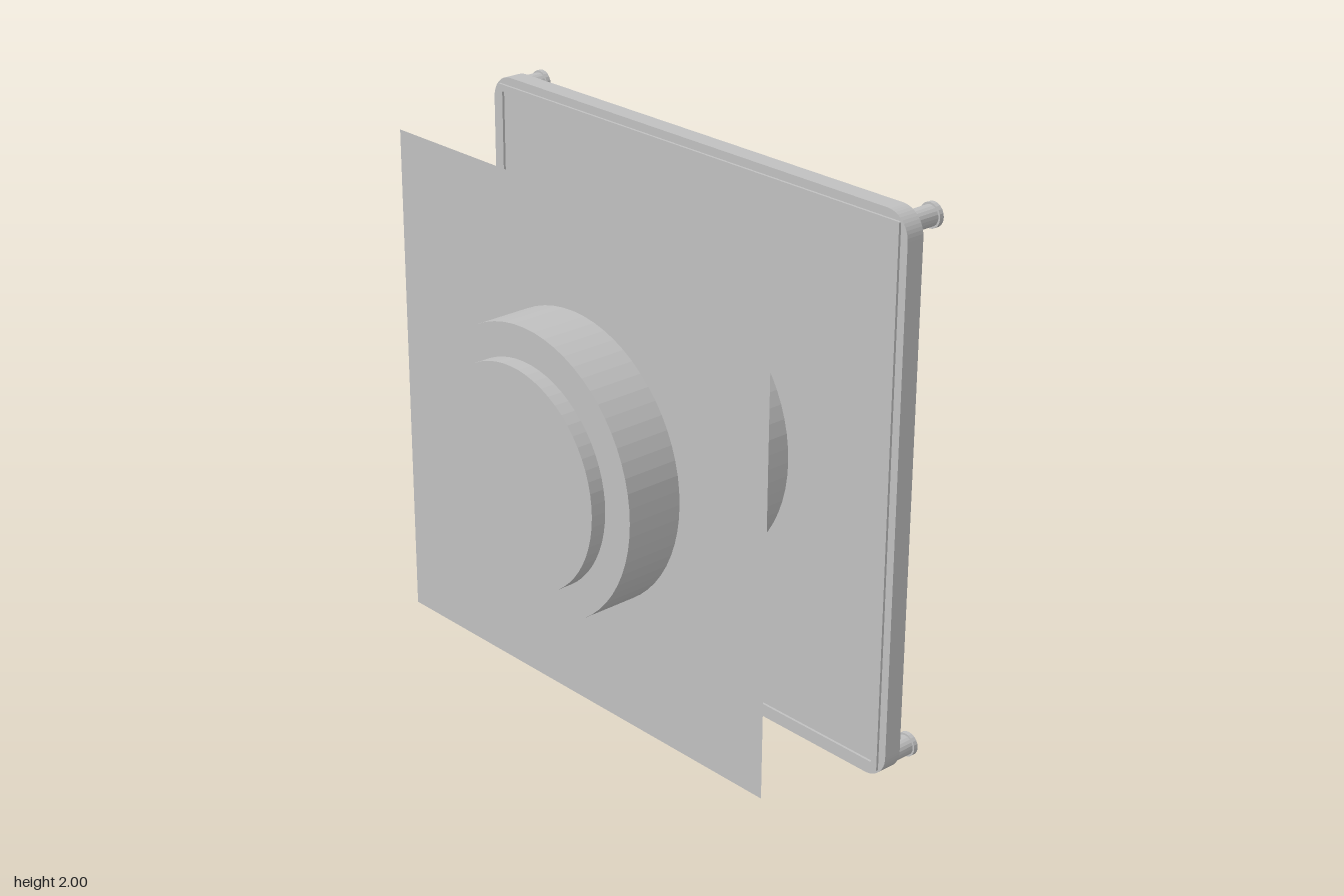
import * as THREE from 'three';

const CY = 1;          // height of the main axis
const SEG = 64;

export function createModel() {
  const group = new THREE.Group();
  const grey = new THREE.MeshStandardMaterial({ color: 0xc0c0c0, flatShading: true, side: THREE.DoubleSide });
  grey.name = 'grey';

  const add = (name, geometry, x = 0, y = CY, z = 0) => {
    const mesh = new THREE.Mesh(geometry, grey);
    mesh.name = name;
    mesh.position.set(x, y, z);
    group.add(mesh);
    return mesh;
  };

  // Solid disc or prism along z, from z0 to z1
  const rod = (name, r, z0, z1, sides = SEG, x = 0, y = CY) => {
    const g = new THREE.CylinderGeometry(r, r, z1 - z0, sides);
    g.rotateX(Math.PI / 2);
    return add(name, g, x, y, (z0 + z1) / 2);
  };

  const roundedSquare = (h, r) => {
    const s = new THREE.Shape();
    s.moveTo(-h + r, -h);
    s.lineTo(h - r, -h);
    s.absarc(h - r, -h + r, r, -Math.PI / 2, 0);
    s.absarc(h - r, h - r, r, 0, Math.PI / 2);
    s.absarc(-h + r, h - r, r, Math.PI / 2, Math.PI);
    s.absarc(-h + r, -h + r, r, Math.PI, Math.PI * 1.5);
    s.closePath();
    return s;
  };
  const extrude = (shape, depth) =>
    new THREE.ExtrudeGeometry(shape, { depth, bevelEnabled: false, curveSegments: 6 });

  // Back plate with a chamfered rear edge
  add('plate', extrude(roundedSquare(1, 0.09), 0.07), 0, CY, -0.276);
  const chamfer = extrude(roundedSquare(1, 0.09), 0.02);
  const p = chamfer.attributes.position;
  for (let i = 0; i < p.count; i++) {
    if (p.getZ(i) < 0.01) p.setXY(i, p.getX(i) * 0.97, p.getY(i) * 0.97);
  }
  chamfer.computeVertexNormals();
  add('plateChamfer', chamfer, 0, CY, -0.296);

  // Raised square lip on the front of the plate
  const lip = roundedSquare(0.97, 0.005);
  lip.holes.push(roundedSquare(0.945, 0.005));
  add('lip', extrude(lip, 0.01), 0, CY, -0.207);

  // Thin panel crossing the housing
  add('frontPanel', new THREE.PlaneGeometry(1.82, 1.82), 0, CY + 0.005, 0.28);

  // Round housing with its stepped cap
  rod('housing', 0.512, -0.21, 0.492, SEG, 0, CY + 0.005);
  rod('cap', 0.394, 0.492, 0.548, SEG, 0, CY + 0.005);

  // Hexagonal nut with a round bore
  const hex = new THREE.Shape();
  for (let i = 0; i < 6; i++) {
    const a = i * Math.PI / 3;
    hex[i ? 'lineTo' : 'moveTo'](0.334 * Math.cos(a), 0.334 * Math.sin(a));
  }
  hex.closePath();
  const bore = new THREE.Path();
  bore.absarc(0, 0, 0.17, 0, Math.PI * 2, true);
  hex.holes.push(bore);
  add('nut', new THREE.ExtrudeGeometry(hex, { depth: 0.115, bevelEnabled: false, curveSegments: 24 }),
    0, CY + 0.005, -0.41);

  // Threaded hollow neck
  const profile = [[0.17, 0.4], [0.24, 0.4]];
  for (const d of [0.46, 0.485, 0.51, 0.535]) {
    profile.push([0.24, d - 0.004], [0.257, d - 0.004], [0.257, d + 0.004], [0.24, d + 0.004]);
  }
  profile.push([0.24, 0.548], [0.17, 0.548], [0.17, 0.4]);
  const neck = new THREE.LatheGeometry(profile.map(([r, d]) => new THREE.Vector2(r, d)), 48);
  neck.rotateX(-Math.PI / 2);
  add('threadedNeck', neck, 0, CY + 0.005);

  // Headed studs at the four corners
  for (const sx of [-1, 1]) {
    for (const sy of [-1, 1]) {
      const x = sx * 0.942, y = CY + sy * 0.945;
      rod('studStem', 0.036, -0.365, -0.275, 20, x, y);
      rod('studHead', 0.043, -0.382, -0.365, 20, x, y);
    }
  }
  return group;
}
